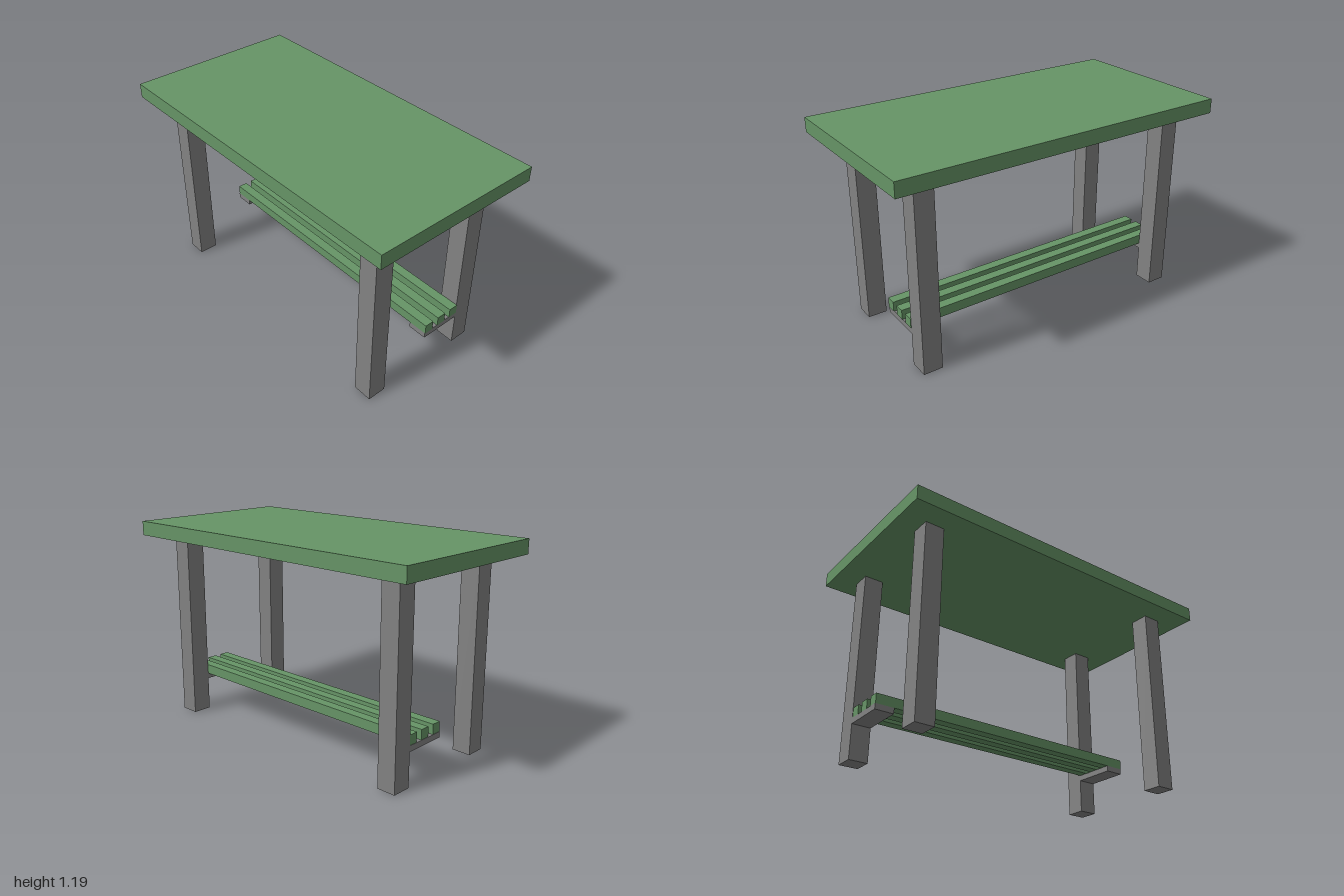
import * as THREE from 'three';

export function createModel() {
  const model = new THREE.Group();
  model.name = 'table';

  const green = new THREE.MeshStandardMaterial({ color: 0x669466 });
  green.name = 'green paint';
  const grey = new THREE.MeshStandardMaterial({ color: 0x828282 });
  grey.name = 'grey metal';

  // Box given by its lower and upper limits on each axis
  function box(name, material, [x0, x1], [y0, y1], [z0, z1]) {
    const mesh = new THREE.Mesh(new THREE.BoxGeometry(x1 - x0, y1 - y0, z1 - z0), material);
    mesh.position.set((x0 + x1) / 2, (y0 + y1) / 2, (z0 + z1) / 2);
    mesh.name = name;
    model.add(mesh);
  }

  // Table top
  box('tableTop', green, [-1, 1], [1.103, 1.187], [-0.513, 0.513]);

  // Legs, with a footrest bracket in front of each back leg
  const sides = { right: [-0.866, -0.756], left: [0.734, 0.846] };
  for (const [side, x] of Object.entries(sides)) {
    box(`${side}FrontLeg`, grey, x, [0, 1.103], [0.267, 0.379]);
    box(`${side}BackLeg`, grey, x, [0, 1.103], [-0.387, -0.274]);
    box(`${side}FootrestBracket`, grey, x, [0.197, 0.23], [-0.274, -0.025]);
  }

  // Footrest slats
  for (let i = 0; i < 3; i++) {
    const front = -0.025 - i * 0.096;
    box(`footrestSlat${i + 1}`, green, [-0.864, 0.849], [0.23, 0.287], [front - 0.057, front]);
  }

  return model;
}
